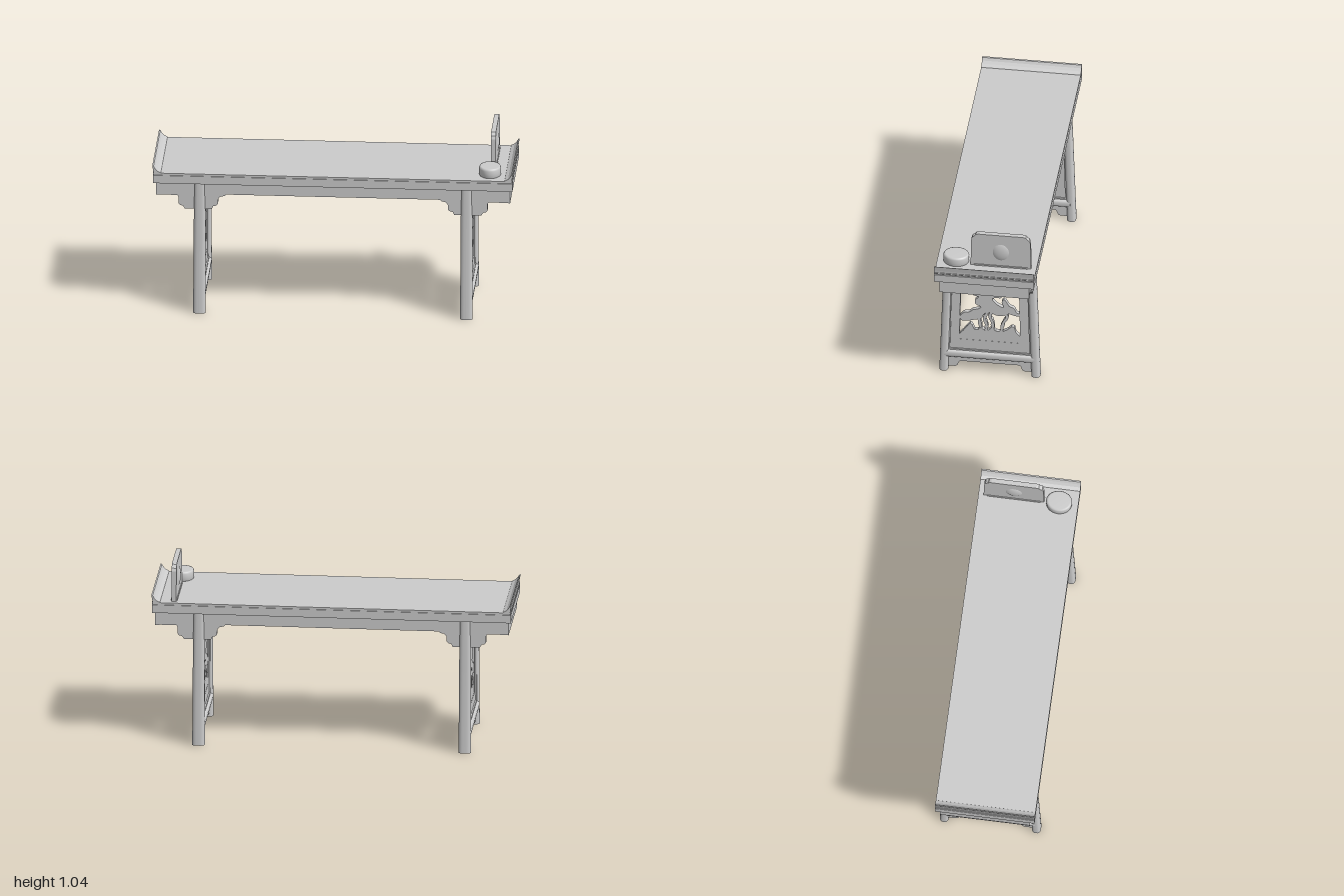
import * as THREE from 'three';

const material = new THREE.MeshStandardMaterial({ color: 0xcccccc });

function add(parent, name, geometry, x = 0, y = 0, z = 0) {
  const mesh = new THREE.Mesh(geometry, material);
  mesh.name = name;
  mesh.position.set(x, y, z);
  parent.add(mesh);
  return mesh;
}

const toPoints = (list) => list.map(([a, b]) => new THREE.Vector2(a, b));
const mirrored = (half) => [...half, ...half.map(([a, b]) => [-a, b]).reverse()];

// Plate in the x-y plane, centred on its thickness
function plate(points, depth, hole) {
  const shape = new THREE.Shape(toPoints(points));
  if (hole) shape.holes.push(new THREE.Path(toPoints(hole)));
  const geometry = new THREE.ExtrudeGeometry(shape, { depth, bevelEnabled: false });
  return geometry.translate(0, 0, -depth / 2);
}

// Plate in the z-y plane
const sidePlate = (points, depth, hole) => plate(points, depth, hole).rotateY(-Math.PI / 2);

// Smooth closed outline through a few points
function smooth(points, divisions) {
  const curve = new THREE.CatmullRomCurve3(
    points.map(([a, b]) => new THREE.Vector3(a, b, 0)), true, 'centripetal');
  return curve.getPoints(divisions).slice(0, -1).map((p) => [p.x, p.y]);
}

// Upright bar with a softly squared round section
function roundBar(halfX, halfZ, length) {
  const geometry = new THREE.CylinderGeometry(1, 1, length, 32, 1);
  const p = geometry.attributes.position;
  const soften = (v) => Math.sign(v) * Math.pow(Math.abs(v), 0.7);
  for (let i = 0; i < p.count; i++) {
    p.setX(i, soften(p.getX(i)) * halfX);
    p.setZ(i, soften(p.getZ(i)) * halfZ);
  }
  geometry.computeVertexNormals();
  return geometry;
}

// Carving outlines are drawn on a fine grid, then scaled to (z, y)
const carve = (points) => points.map(([a, b]) => [(686 - a) / 364, (413 - b) / 364]);

const figure = [
  [650, 211], [656, 206], [663, 208], [669, 204], [682, 207], [690, 207], [695, 204], [703, 212],
  [711, 220], [708, 228], [698, 228], [691, 232], [697, 241], [704, 247], [714, 251], [710, 237],
  [715, 231], [720, 237], [726, 247], [735, 251], [741, 262], [747, 264], [746, 270], [735, 269],
  [724, 266], [714, 271], [700, 272], [690, 268], [680, 266], [673, 272], [670, 281], [656, 286],
  [640, 290], [628, 290], [625, 281], [634, 270], [643, 269], [652, 262], [662, 259], [668, 254],
  [657, 247], [656, 238], [663, 229], [652, 225]];
const hills = [
  [622, 327], [632, 315], [640, 303], [646, 296], [650, 299], [655, 311], [662, 310], [668, 304],
  [675, 311], [684, 309], [690, 303], [698, 311], [712, 311], [722, 305], [730, 297], [736, 298],
  [739, 311], [749, 321], [749, 345], [622, 345]];
const stems = [
  [[668, 262], [663, 278], [665, 290], [668, 312]],
  [[682, 264], [675, 282], [679, 297], [678, 313]],
  [[689, 264], [686, 277], [691, 290], [692, 313]],
  [[712, 263], [721, 274], [713, 291], [709, 313]]];

// One end of the table: two legs, rail, pierced panel and foot board
function endFrame(x) {
  const frame = new THREE.Group();
  frame.name = 'endFrame';
  frame.position.x = x;

  for (const side of [1, -1]) {
    // Leg leans inward and narrows slightly toward the top
    const leg = roundBar(0.035, 0.025, 0.767).translate(0, 0.3835, 0);
    const p = leg.attributes.position;
    for (let i = 0; i < p.count; i++) {
      const t = p.getY(i) / 0.767;
      p.setX(i, p.getX(i) * (1 - 0.1 * t));
      p.setZ(i, p.getZ(i) + side * (0.257 - 0.026 * t));
    }
    leg.computeVertexNormals();
    add(frame, 'leg', leg);

    add(frame, 'panelSideStrip', sidePlate([
      [side * 0.222, 0.14], [side * 0.235, 0.14], [side * 0.215, 0.685], [side * 0.208, 0.685]], 0.042));
  }

  add(frame, 'lowerRail', roundBar(0.035, 0.026, 0.505).rotateX(Math.PI / 2), 0, 0.115, 0)
    .geometry.computeVertexNormals();
  add(frame, 'panelBottomStrip', new THREE.BoxGeometry(0.042, 0.012, 0.45), 0, 0.141, 0);

  const opening = mirrored([
    [0.17, 0.21], [0.163, 0.565], [0.158, 0.582], [0.143, 0.59], [0.137, 0.606], [0.122, 0.616]]);
  add(frame, 'piercedPanel',
    sidePlate(mirrored([[0.232, 0.12], [0.21, 0.766]]), 0.026, opening));
  add(frame, 'carvedFigure', sidePlate(smooth(carve(figure), 160), 0.024));
  add(frame, 'carvedHills', sidePlate(carve(hills), 0.024));
  for (const path of stems) {
    const line = new THREE.SplineCurve(toPoints(path)).getPoints(12);
    const width = (i) => 3 + (i % 3 === 0 ? 0.9 : 0);
    const outline = [
      ...line.map((p, i) => [p.x - width(i), p.y]),
      ...line.map((p, i) => [p.x + width(i), p.y]).reverse()];
    add(frame, 'carvedStem', sidePlate(carve(outline), 0.022));
  }

  add(frame, 'footBoard', sidePlate(mirrored([
    [0.24, 0.1], [0.24, 0.022], [0.193, 0.022], [0.181, 0.03], [0.173, 0.052], [0.163, 0.06]]), 0.026));
  return frame;
}

export function createModel() {
  const model = new THREE.Group();
  model.name = 'altarTable';

  // Top board with a shadow line under its upper edge
  add(model, 'topBoard', new THREE.BoxGeometry(1.994, 0.046, 0.556), 0, 0.789, 0);
  add(model, 'topGroove', new THREE.BoxGeometry(1.98, 0.008, 0.546), 0, 0.815, 0);
  add(model, 'topSurface', new THREE.BoxGeometry(1.994, 0.008, 0.556), 0, 0.822, 0);

  for (const side of [1, -1]) {
    // Upturned end
    add(model, 'upturnedEnd', plate([
      [0.95, 0.82], [0.993, 0.82], [0.995, 0.84], [1, 0.869], [0.993, 0.866],
      [0.984, 0.851], [0.972, 0.838], [0.955, 0.829]].map(([a, b]) => [a * side, b]), 0.556));
    add(model, 'endApron', new THREE.BoxGeometry(0.025, 0.08, 0.5), side * 0.97, 0.727, 0);

    // Long apron with shaped brackets at the legs
    add(model, 'longApron', plate(mirrored([
      [0.982, 0.767], [0.982, 0.688], [0.862, 0.688], [0.857, 0.675], [0.857, 0.64], [0.848, 0.629],
      [0.832, 0.626], [0.822, 0.609], [0.672, 0.609], [0.664, 0.626], [0.648, 0.63], [0.638, 0.64],
      [0.636, 0.672], [0.624, 0.684], [0.602, 0.688], [0.592, 0.697]]), 0.025), 0, 0, side * 0.236);

    model.add(endFrame(side * 0.74));
  }

  // Small standing screen with a domed medallion
  const screen = new THREE.Group();
  screen.name = 'standingScreen';
  screen.position.set(0.878, 0.822, -0.08);
  add(screen, 'screenPlate', sidePlate(mirrored([
    [0.169, 0], [0.165, 0.178], [0.158, 0.194], [0.147, 0.2], [0.139, 0.211], [0.126, 0.215]]), 0.027));
  const medallion = new THREE.SphereGeometry(1, 32, 20).scale(0.023, 0.065, 0.056);
  add(screen, 'medallion', medallion, 0, 0.101, 0);
  add(screen, 'screenFoot', new THREE.BoxGeometry(0.036, 0.012, 0.3), 0, 0.006, 0);
  model.add(screen);

  // Round lidded box
  const profile = toPoints([
    [0, 0], [0.055, 0], [0.06, 0.006], [0.061, 0.026], [0.061, 0.045], [0.057, 0.054], [0.05, 0.056], [0, 0.056]]);
  add(model, 'roundBox', new THREE.LatheGeometry(profile, 40).scale(1, 1, 1.18), 0.866, 0.823, 0.172);

  return model;
}
